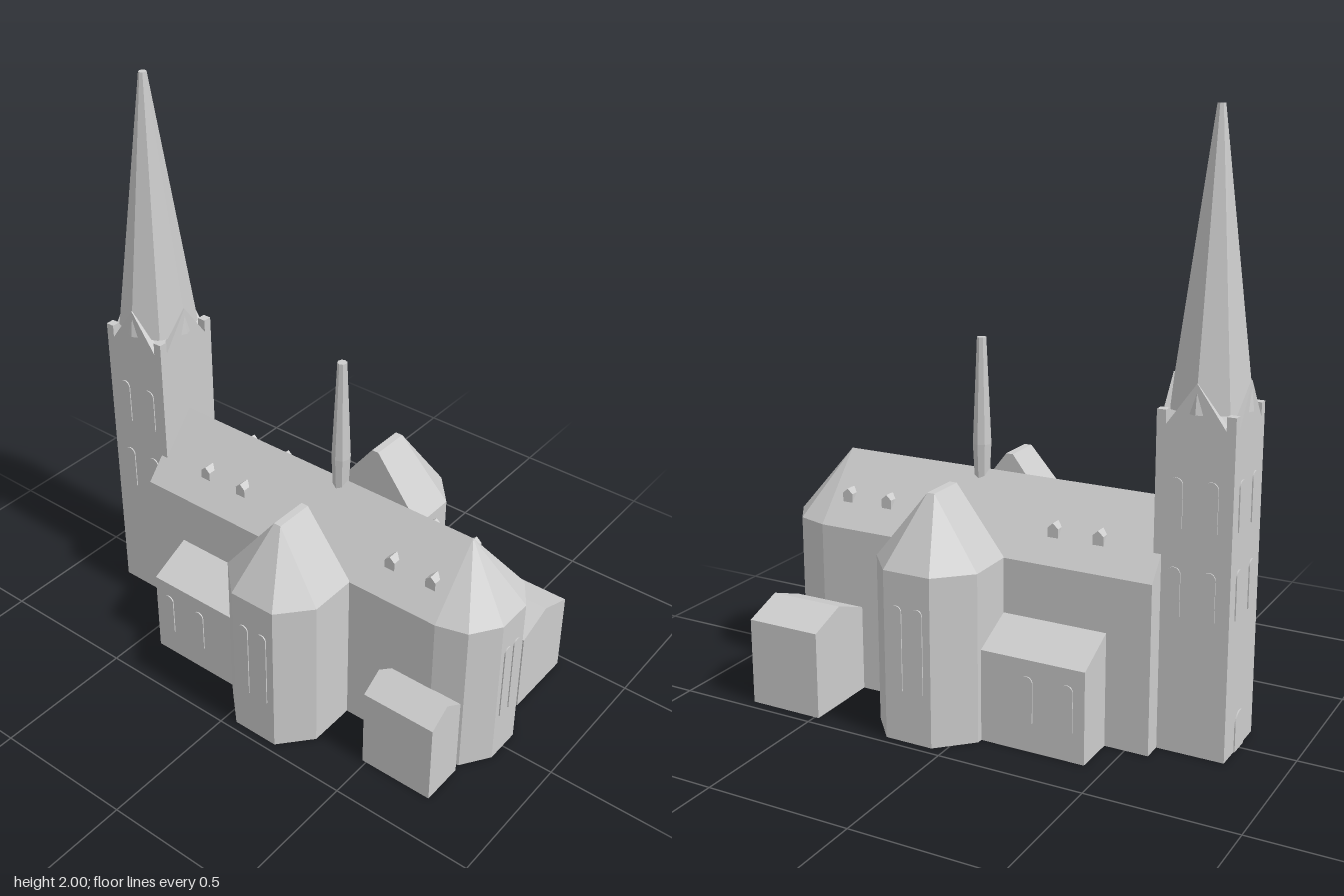
import * as THREE from 'three';
import { ConvexGeometry } from 'three/addons/geometries/ConvexGeometry.js';

const stone = new THREE.MeshStandardMaterial({ color: 0xcccccc });
stone.name = 'grey stone';

const WALL = 0.57, RIDGE = 0.795, NAVE_Z = 0.193, TOWER_X = -0.68, TOWER_R = 0.126;

export function createModel() {
  const model = new THREE.Group();
  model.name = 'church';

  const add = (name, geometry, x = 0, y = 0, z = 0, turn = 0) => {
    const mesh = new THREE.Mesh(geometry, stone);
    mesh.name = name;
    mesh.position.set(x, y, z);
    mesh.rotation.y = turn;
    model.add(mesh);
    return mesh;
  };
  const hull = (points) => new ConvexGeometry(points.map((p) => new THREE.Vector3(...p)));
  // Walls over a floor plan of [x, z] corners, closed by roof points
  const building = (name, plan, eave, roof) =>
    add(name, hull([...plan.flatMap(([x, z]) => [[x, 0, z], [x, eave, z]]), ...roof]));
  const flat = (geometry) => {
    const g = geometry.toNonIndexed();
    g.computeVertexNormals();
    return g;
  };
  // Round-arched thin plate, standing on its local origin
  const arch = (w, h) => {
    const s = new THREE.Shape();
    s.moveTo(-w / 2, 0);
    s.lineTo(w / 2, 0);
    s.lineTo(w / 2, h - w / 2);
    s.absarc(0, h - w / 2, w / 2, 0, Math.PI, false);
    s.closePath();
    return new THREE.ExtrudeGeometry(s, { depth: 0.005, bevelEnabled: false, curveSegments: 8 });
  };

  // Nave with polygonal apse at the east end
  const apse = [[0.64, NAVE_Z], [0.746, 0.163], [0.812, 0.066]];
  building('naveAndApse',
    [[-0.58, NAVE_Z], [-0.58, -NAVE_Z], ...apse, ...apse.map(([x, z]) => [x, -z])],
    WALL, [[-0.58, RIDGE, 0], [0.64, RIDGE, 0]]);
  for (const z of [-0.026, 0.026]) add('apseWindow', arch(0.038, 0.285), 0.811, 0.175, z, Math.PI / 2);

  for (const s of [1, -1]) {
    const turn = s > 0 ? 0 : Math.PI;

    // Transept arm with chamfered corners and hipped roof
    building('transept',
      [[-0.066, 0.19], [-0.066, 0.363], [0.044, 0.47], [0.212, 0.47], [0.306, 0.363], [0.306, 0.19]]
        .map(([x, z]) => [x, z * s]),
      WALL, [0.107, 0.133].flatMap((x) => [[x, RIDGE, 0.19 * s], [x, RIDGE, 0.328 * s]]));
    for (const x of [0.09, 0.166]) add('transeptWindow', arch(0.038, 0.285), x, 0.175, 0.469 * s, turn);

    // Low side aisle with lean-to roof
    building('sideAisle',
      [[-0.43, 0.18 * s], [-0.43, 0.343 * s], [-0.066, 0.343 * s], [-0.066, 0.18 * s]],
      0.31, [[-0.43, 0.385, 0.19 * s], [-0.066, 0.385, 0.19 * s]]);
    for (const x of [-0.37, -0.23]) add('aisleWindow', arch(0.04, 0.155), x, 0.1, 0.342 * s, turn);

    // Small gabled annex beside the choir, deeper on the back
    const outer = s > 0 ? 0.343 : 0.463, inner = s > 0 ? 0.187 : 0.193;
    building('annex',
      [[0.485, inner * s], [0.485, outer * s], [0.75, outer * s], [0.75, inner * s]],
      0.297, [0.485, 0.75].map((x) => [x, 0.347, s * (inner + outer) / 2]));

    // Roof dormers
    for (const x of [-0.368, -0.21, 0.418, 0.575]) {
      const end = (z) => [[x - 0.019, 0.64, z], [x + 0.019, 0.64, z],
        [x - 0.019, 0.673, z], [x + 0.019, 0.673, z], [x, 0.69, z]];
      add('dormer', hull([...end(0.131 * s), ...end(0.092 * s)]));
    }
  }

  // Tower shaft
  add('towerShaft', new THREE.BoxGeometry(TOWER_R * 2, 1.055, TOWER_R * 2), TOWER_X, 1.055 / 2, 0);

  // Gable on each side and a short post on each corner of the tower
  const gable = new THREE.Shape([[-0.1, 0], [0.1, 0], [0, 0.14]].map((p) => new THREE.Vector2(...p)));
  const gableGeo = new THREE.ExtrudeGeometry(gable, { depth: 0.025, bevelEnabled: false });
  gableGeo.translate(0, 0, TOWER_R - 0.025);
  for (let i = 0; i < 4; i++) {
    add('towerGable', gableGeo, TOWER_X, 1.055, 0, i * Math.PI / 2);
    const px = i % 2 ? 1 : -1, pz = i < 2 ? 1 : -1;
    add('cornerPost', new THREE.BoxGeometry(0.03, 0.055, 0.03),
      TOWER_X + px * (TOWER_R - 0.015), 1.0775, pz * (TOWER_R - 0.015));
  }

  // Octagonal spire
  add('spire', flat(new THREE.CylinderGeometry(0.0135, 0.135, 0.9, 8)), TOWER_X, 1.55, 0);

  // Paired tower windows on the front, back and west faces
  for (const turn of [0, Math.PI, -Math.PI / 2]) {
    for (const u of [-0.057, 0.057]) {
      for (const y of [0.455, 0.74]) {
        const m = add('towerWindow', arch(0.044, 0.16), TOWER_X, y, 0, turn);
        m.translateX(u).translateZ(TOWER_R - 0.001);
      }
    }
  }
  add('westDoor', arch(0.08, 0.13), TOWER_X - TOWER_R + 0.001, 0, 0, -Math.PI / 2);

  // Slender ridge turret over the crossing
  const profile = [[0, 0.76], [0.026, 0.76], [0.032, 0.88], [0.016, 1.238], [0, 1.238]];
  add('ridgeTurret', flat(new THREE.LatheGeometry(profile.map((p) => new THREE.Vector2(...p)), 8)), 0.12, 0, 0);

  return model;
}
